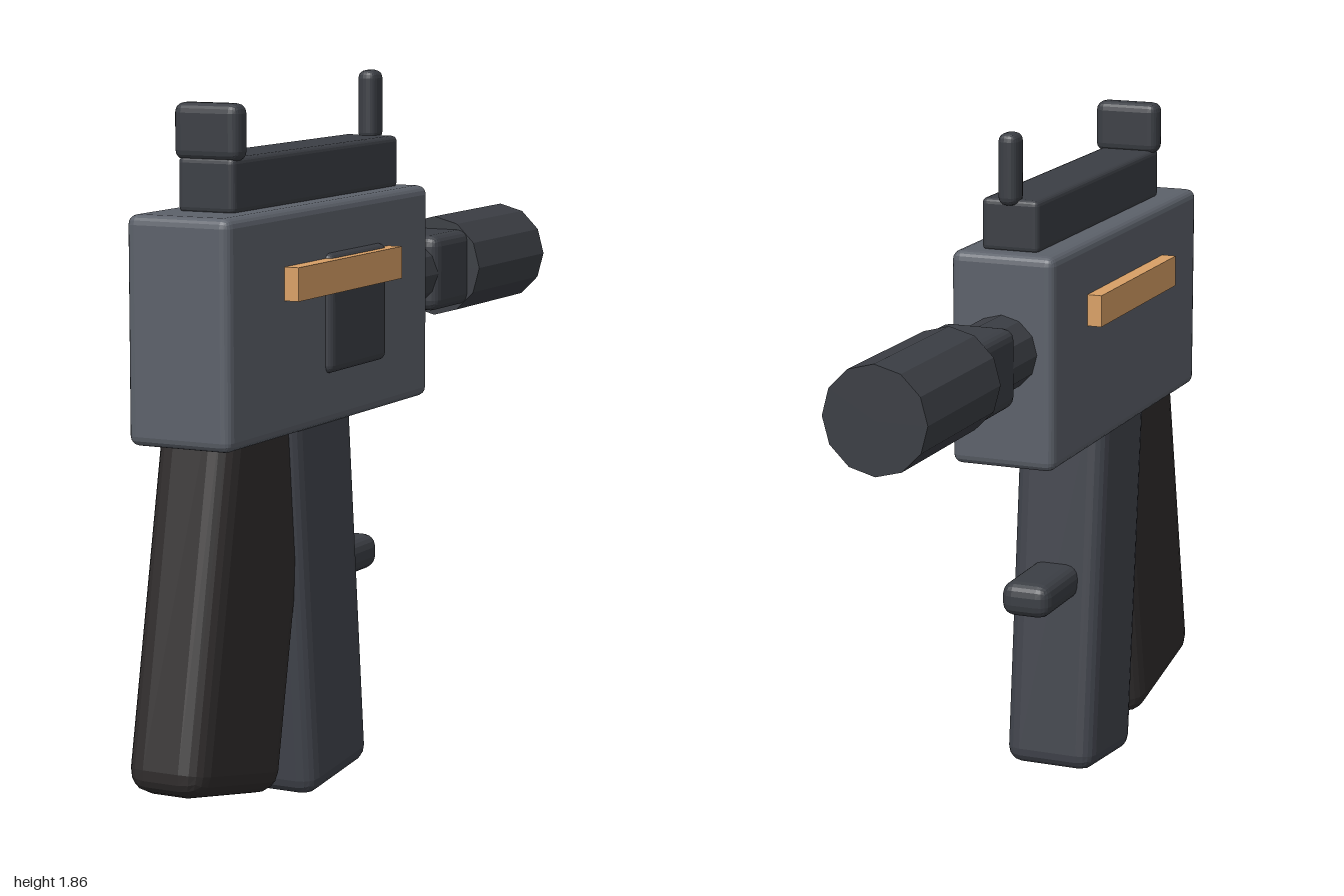
import * as THREE from 'three';
import { RoundedBoxGeometry } from 'three/addons/geometries/RoundedBoxGeometry.js';

const paint = (color) => new THREE.MeshStandardMaterial({ color, flatShading: true });

export function createModel() {
  const model = new THREE.Group();
  const bodyGrey = paint(0x5c616a);
  const darkGrey = paint(0x3b3e44);
  const magazineGrey = paint(0x41444c);
  const gripBrown = paint(0x302d2d);
  const tan = paint(0xd9a066);

  function add(name, geometry, material, x, y, z) {
    const mesh = new THREE.Mesh(geometry, material);
    mesh.name = name;
    mesh.position.set(x, y, z);
    model.add(mesh);
    return mesh;
  }

  // Bevelled box given by its [min, max] along each axis
  function block(name, material, [x0, x1], [y0, y1], [z0, z1], bevel) {
    const geometry = new RoundedBoxGeometry(x1 - x0, y1 - y0, z1 - z0, 2, bevel);
    return add(name, geometry, material, (x0 + x1) / 2, (y0 + y1) / 2, (z0 + z1) / 2);
  }

  // Bevelled bar leaning about x, placed by the middle of its bottom face
  function leaningBar(name, material, size, bottomY, bottomZ, tilt, bevel) {
    const half = size[1] / 2;
    const bar = add(name, new RoundedBoxGeometry(...size, 2, bevel), material,
      0, bottomY + half * Math.cos(tilt), bottomZ + half * Math.sin(tilt));
    bar.rotation.x = tilt;
  }

  // Faceted tube along z
  function tube(name, radius, z0, z1) {
    const geometry = new THREE.CylinderGeometry(radius, radius, z1 - z0, 12);
    geometry.rotateX(Math.PI / 2);
    add(name, geometry, darkGrey, 0, 1.3, (z0 + z1) / 2);
  }

  // Receiver with its side panel and stripe
  block('body', bodyGrey, [-0.145, 0.145], [0.985, 1.56], [-0.215, 0.895], 0.025);
  block('sidePanel', darkGrey, [0.08, 0.163], [1.12, 1.43], [0.07, 0.39], 0.02);
  add('sideStripe', new THREE.BoxGeometry(0.37, 0.085, 0.58), tan, 0, 1.375, 0.32);

  // Top rail and sights
  block('topRail', darkGrey, [-0.08, 0.08], [1.555, 1.695], [-0.16, 0.75], 0.015);
  block('rearSight', darkGrey, [-0.092, 0.092], [1.685, 1.828], [0.687, 0.755], 0.025);
  block('frontSight', darkGrey, [-0.027, 0.027], [1.68, 1.87], [-0.185, -0.115], 0.022);

  // Barrel, collar and end tube
  tube('barrel', 0.1, -0.4, -0.15);
  block('barrelCollar', darkGrey, [-0.102, 0.102], [1.195, 1.405], [-0.62, -0.355], 0.03);
  tube('endTube', 0.14, -1, -0.553);

  // Grip, magazine and the small knob in front of it
  leaningBar('grip', gripBrown, [0.22, 1.08, 0.46], 0.09, 0.78, -0.2, 0.06);
  leaningBar('magazine', magazineGrey, [0.26, 1.06, 0.337], 0.02, 0.27, 0.098, 0.045);
  block('knob', darkGrey, [-0.07, 0.07], [0.525, 0.62], [-0.07, 0.25], 0.035);

  return model;
}
